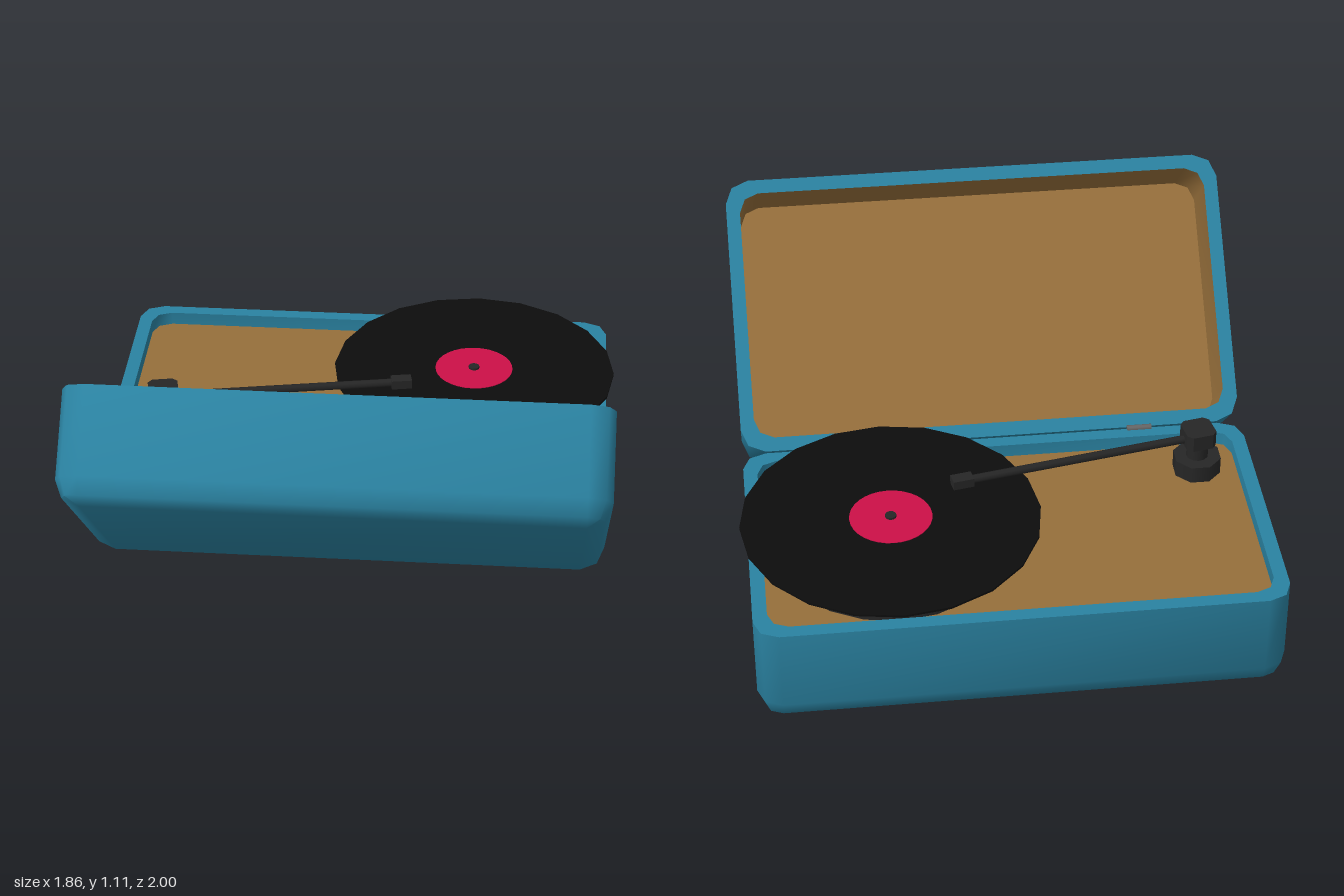
import * as THREE from 'three';
import { toCreasedNormals } from 'three/addons/utils/BufferGeometryUtils.js';

const W = 1.83, D = 1.01, H = 0.392, R = 0.085, CX = -0.015;
const mat = (color) => new THREE.MeshStandardMaterial({ color });
const blue = mat(0x2a82a1), brown = mat(0x966f3b), black = mat(0x0d0d0d);
const darkGrey = mat(0x262626), red = mat(0xcc1048), steel = mat(0x666666);

// Rounded-rectangle ring at height y, three points per corner.
function ring(inset, r, y) {
  const pts = [];
  for (let c = 0; c < 4; c++) {
    const sx = c === 0 || c === 3 ? 1 : -1, sz = c < 2 ? 1 : -1;
    for (let k = 0; k < 3; k++) {
      const a = (c + k / 2) * Math.PI / 2;
      pts.push([sx * (W / 2 - inset - r) + r * Math.cos(a), y, sz * (D / 2 - inset - r) + r * Math.sin(a)]);
    }
  }
  return pts;
}
const centre = (y) => Array.from({ length: 12 }, () => [0, y, 0]);

// Skin a list of rings.
function loft(rings) {
  const pos = rings.flat(2), idx = [], n = 12;
  for (let k = 0; k < rings.length - 1; k++) {
    for (let i = 0; i < n; i++) {
      const j = (i + 1) % n, a = k * n + i, b = k * n + j;
      idx.push(a, a + n, b, b, a + n, b + n);
    }
  }
  const g = new THREE.BufferGeometry();
  g.setAttribute('position', new THREE.Float32BufferAttribute(pos, 3));
  g.setIndex(idx);
  return toCreasedNormals(g, 0.9);
}

function add(parent, name, geometry, material, x = 0, y = 0, z = 0) {
  const m = new THREE.Mesh(geometry, material);
  m.name = name;
  m.position.set(x, y, z);
  parent.add(m);
  return m;
}

// One half of the case, rim at y = 0, open upwards.
function caseHalf(name, depth, wallIsLining) {
  const g = new THREE.Group();
  g.name = name;
  const outer = [
    centre(-H), ring(R, 0, -H), ring(R * 0.293, R * 0.707, -H + R * 0.293),
    ring(0, R, -H + R), ring(0, R, 0), ring(0.05, 0.07, 0),
  ];
  const floor = ring(0.05, 0.07, -depth);
  const lining = [floor, centre(-depth)];
  if (wallIsLining) lining.unshift(ring(0.05, 0.07, 0));
  else outer.push(floor);
  add(g, name + 'Shell', loft(outer), blue);
  add(g, name + 'Lining', loft(lining), brown);
  return g;
}

export function createModel() {
  const model = new THREE.Group();
  model.name = 'recordPlayer';

  // Base case
  const base = caseHalf('base', 0.05, false);
  base.position.set(CX, H, 0.035 - D / 2);
  model.add(base);

  // Lid, swung open about the hinge line
  const lidPivot = new THREE.Group();
  lidPivot.name = 'lidPivot';
  lidPivot.position.set(CX, H, 0.045);
  lidPivot.rotation.x = -Math.PI / 4;
  const lid = caseHalf('lid', 0.24, true);
  lid.position.z = D / 2;
  lidPivot.add(lid);
  model.add(lidPivot);

  // Hinges
  for (const side of [-1, 1]) {
    add(model, 'hinge', new THREE.CylinderGeometry(0.012, 0.012, 0.09, 8), steel, CX + side * 0.54, H, 0.037)
      .rotation.z = Math.PI / 2;
  }

  // Platter, record, label and spindle
  const px = 0.4, pz = -0.475;
  add(model, 'platter', new THREE.CylinderGeometry(0.405, 0.405, 0.12, 20), darkGrey, px, 0.4, pz);
  add(model, 'record', new THREE.CylinderGeometry(0.525, 0.525, 0.008, 20), black, px, 0.464, pz);
  add(model, 'recordLabel', new THREE.CylinderGeometry(0.145, 0.145, 0.004, 32), red, px, 0.468, pz);
  add(model, 'spindle', new THREE.CylinderGeometry(0.02, 0.02, 0.02, 12), darkGrey, px, 0.468, pz);

  // Tonearm: foot, stem, pivot block, arm and cartridge
  const arm = new THREE.Group();
  arm.name = 'tonearm';
  arm.position.set(-0.735, 0, -0.163);
  model.add(arm);
  add(arm, 'tonearmFoot', new THREE.CylinderGeometry(0.088, 0.088, 0.065, 8), darkGrey, 0, 0.374, 0)
    .rotation.y = Math.PI / 8;
  add(arm, 'tonearmStem', new THREE.CylinderGeometry(0.04, 0.04, 0.08, 12), darkGrey, 0, 0.435, 0);
  const swing = new THREE.Group();
  swing.name = 'tonearmSwing';
  swing.rotation.y = 0.185;
  arm.add(swing);
  const s = 0.055, c = 0.018;
  const blockShape = new THREE.Shape([
    [-s + c, -s], [s - c, -s], [s, -s + c], [s, s - c], [s - c, s], [-s + c, s], [-s, s - c], [-s, -s + c],
  ].map(([x, y]) => new THREE.Vector2(x, y)));
  const block = new THREE.ExtrudeGeometry(blockShape, { depth: 0.06, bevelEnabled: false });
  block.rotateX(-Math.PI / 2);
  add(swing, 'tonearmBlock', block, darkGrey, 0, 0.465, 0);
  add(swing, 'tonearmRod', new THREE.CylinderGeometry(0.015, 0.015, 0.85, 8), darkGrey, 0.455, 0.487, 0)
    .rotation.z = Math.PI / 2;
  add(swing, 'cartridge', new THREE.BoxGeometry(0.075, 0.034, 0.046), darkGrey, 0.885, 0.487, 0);

  return model;
}
